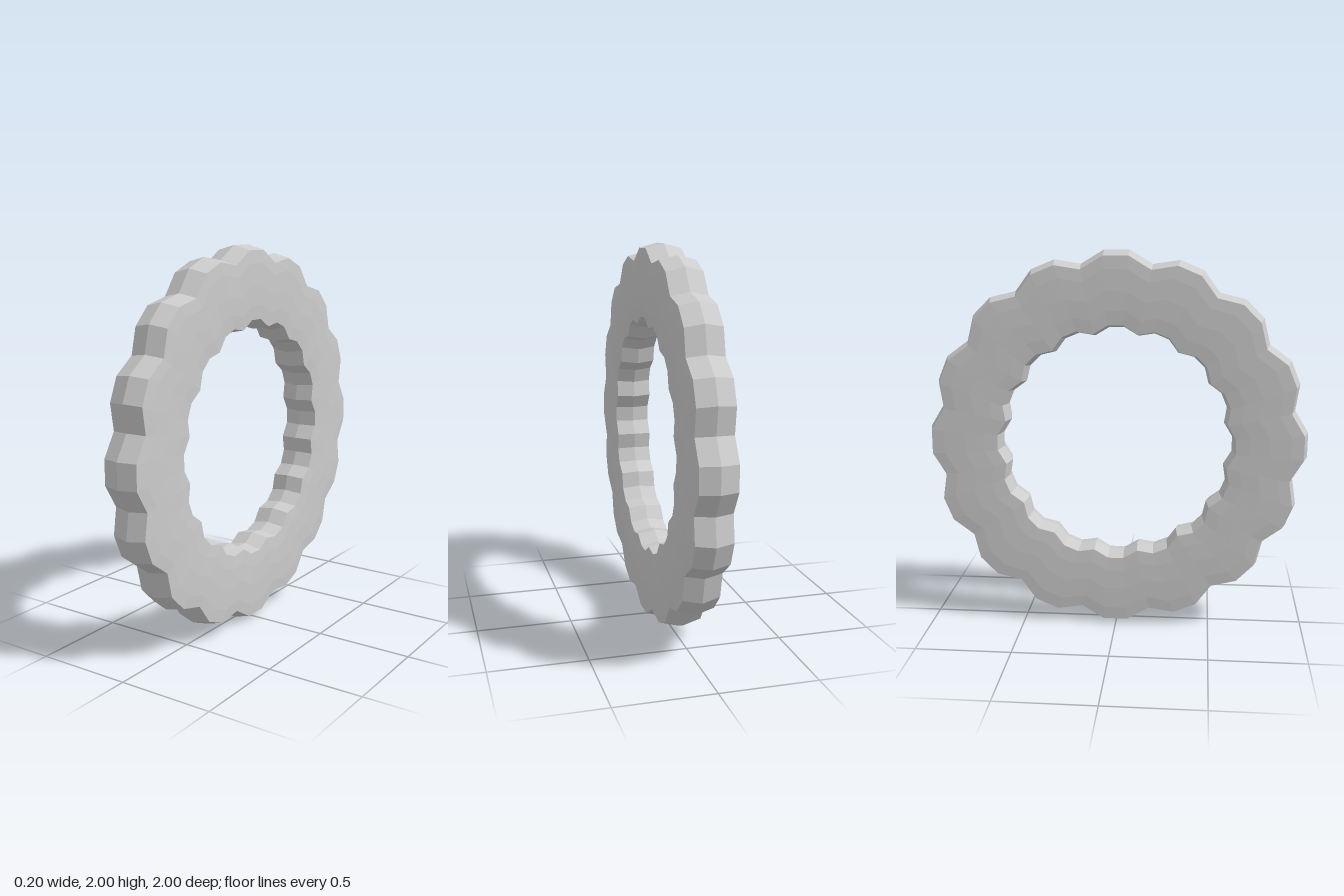
import * as THREE from 'three';

const LOBES = 16;
const STEPS = LOBES * 3; // two crest corners and one notch per lobe
const NOTCH = 0.944; // radial scale at a notch

// Closed cross-section as [x, radius], running over the outer rim and the +x face first
const half = [[0.094, 0.977], [0.099, 0.91], [0.101, 0.8], [0.099, 0.7], [0.094, 0.626]];
const section = [
  [0, 1.002],
  ...half,
  [0, 0.607],
  ...half.map(([x, r]) => [-x, r]).reverse(),
];

// Sweep the cross-section around the x axis, pulling it inward at every notch
function scallopedRing() {
  const positions = [];
  const index = [];
  const n = section.length;
  for (let i = 0; i < STEPS; i++) {
    const angle = ((i - 0.5) / STEPS) * Math.PI * 2;
    const scale = i % 3 === 2 ? NOTCH : 1;
    for (const [x, r] of section) {
      positions.push(x, r * scale * Math.cos(angle), r * scale * Math.sin(angle));
    }
    const next = (i + 1) % STEPS;
    for (let j = 0; j < n; j++) {
      const k = (j + 1) % n;
      const a = i * n + j, b = i * n + k, c = next * n + k, d = next * n + j;
      index.push(a, c, b, a, d, c);
    }
  }
  const geometry = new THREE.BufferGeometry();
  geometry.setAttribute('position', new THREE.Float32BufferAttribute(positions, 3));
  geometry.setIndex(index);
  // Separate the faces so each facet keeps its own normal
  const faceted = geometry.toNonIndexed();
  faceted.computeVertexNormals();
  return faceted;
}

export function createModel() {
  const group = new THREE.Group();
  group.name = 'scallopedRingModel';
  const material = new THREE.MeshStandardMaterial({ color: 0xcccccc, flatShading: true });
  const ring = new THREE.Mesh(scallopedRing(), material);
  ring.name = 'scallopedRing';
  ring.position.y = 1; // stand on the ground
  group.add(ring);
  return group;
}
